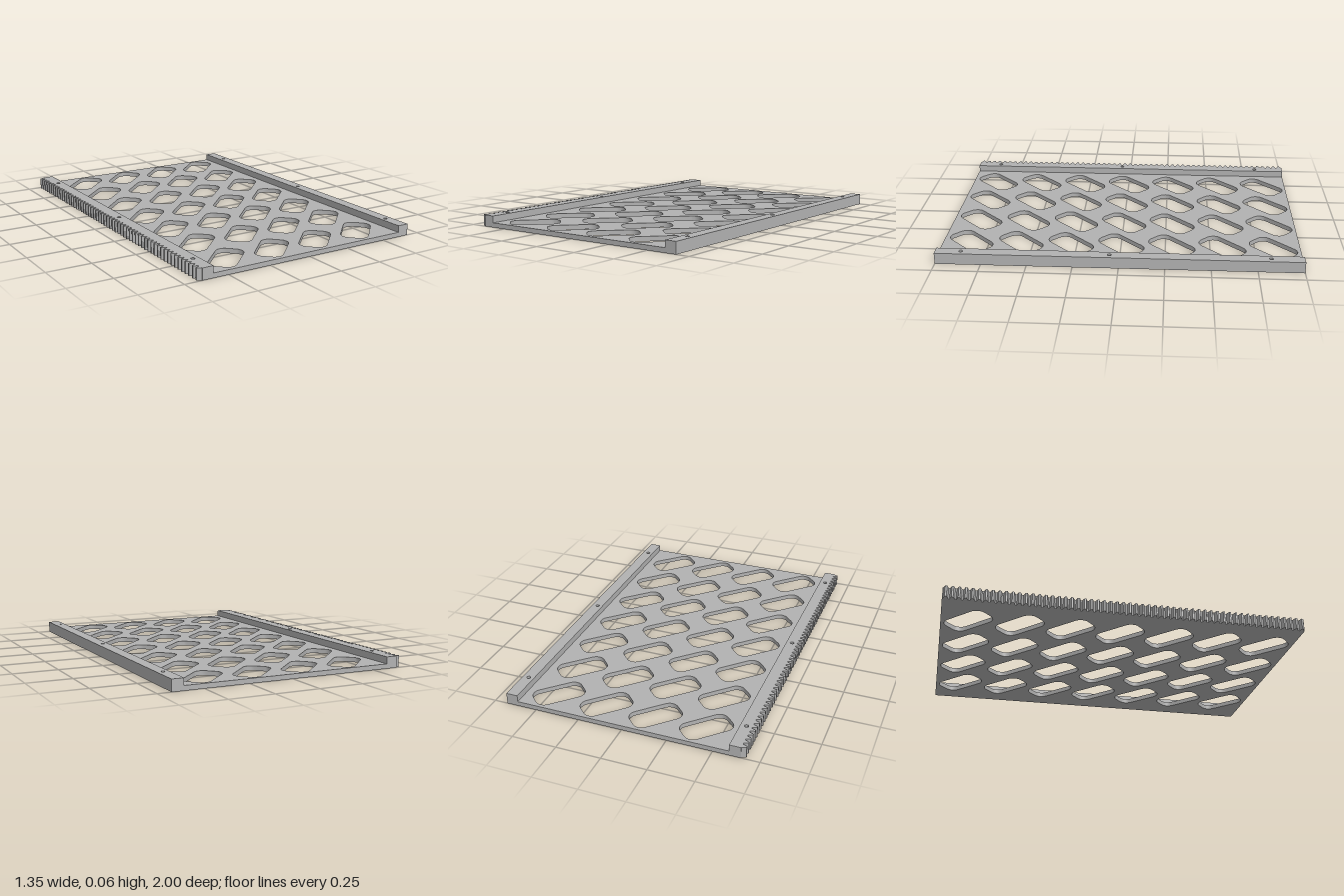
import * as THREE from 'three';
import { toCreasedNormals } from 'three/addons/utils/BufferGeometryUtils.js';

const TIP = -0.675, ROOT = -0.65, RIGHT = 0.675;
const PLATE = 0.026, HEIGHT = 0.064;
const TEETH = 57, PITCH = 2 / TEETH;

// Plan outline from the toothed left edge to xMax; shape y is -z
function toothedOutline(xMax) {
  const s = new THREE.Shape();
  s.moveTo(ROOT, -1);
  s.lineTo(xMax, -1);
  s.lineTo(xMax, 1);
  s.lineTo(ROOT, 1);
  for (let i = 0; i < TEETH; i++) {
    const c = 1 - (i + 0.5) * PITCH;
    s.lineTo(ROOT, c + 0.0138);
    s.lineTo(TIP, c + 0.0047);
    s.lineTo(TIP, c - 0.0047);
    s.lineTo(ROOT, c - 0.0138);
  }
  s.closePath();
  return s;
}

// Rounded rectangular slot turned 45 degrees
function slot(cx, cy) {
  const a = 0.138, b = 0.075, r = 0.05, pts = [];
  const corners = [[1, 1], [-1, 1], [-1, -1], [1, -1]];
  corners.forEach(([sx, sy], q) => {
    for (let i = 0; i <= 8; i++) {
      const t = (q + i / 8) * Math.PI / 2;
      const p = new THREE.Vector2(sx * (a - r) + r * Math.cos(t), sy * (b - r) + r * Math.sin(t));
      pts.push(p.rotateAround(new THREE.Vector2(), Math.PI / 4).add(new THREE.Vector2(cx, cy)));
    }
  });
  return new THREE.Path(pts);
}

// Small screw holes along a rail
function addScrewHoles(shape, x) {
  for (const z of [-0.82, 0.05, 0.86]) {
    const hole = new THREE.Path();
    hole.absarc(x, -z, 0.011, 0, Math.PI * 2, true);
    shape.holes.push(hole);
  }
}

function slab(name, shape, y0, y1, material) {
  let g = new THREE.ExtrudeGeometry(shape, { depth: y1 - y0, bevelEnabled: false, curveSegments: 10 });
  g.rotateX(-Math.PI / 2);
  g.translate(0, y0, 0);
  g = toCreasedNormals(g, 0.7);
  const mesh = new THREE.Mesh(g, material);
  mesh.name = name;
  return mesh;
}

export function createModel() {
  const group = new THREE.Group();
  group.name = 'slottedRackPlate';
  const grey = new THREE.MeshStandardMaterial({ color: 0xb2b2b2 });
  grey.name = 'grey';

  // Thin base plate with a grid of diagonal slots
  const base = toothedOutline(RIGHT);
  for (let col = 0; col < 4; col++)
    for (let row = 0; row < 7; row++)
      base.holes.push(slot(-0.415 + col * 0.2845, 0.85 - row * 0.2823));
  group.add(slab('basePlate', base, 0, PLATE, grey));

  // Toothed rail on the model's right
  const rack = toothedOutline(-0.587);
  addScrewHoles(rack, -0.62);
  group.add(slab('toothedRail', rack, PLATE, HEIGHT, grey));

  // Plain rail on the model's left
  const rail = new THREE.Shape([[0.609, -1], [RIGHT, -1], [RIGHT, 1], [0.609, 1]].map(p => new THREE.Vector2(...p)));
  addScrewHoles(rail, 0.64);
  group.add(slab('plainRail', rail, PLATE, HEIGHT, grey));

  return group;
}
